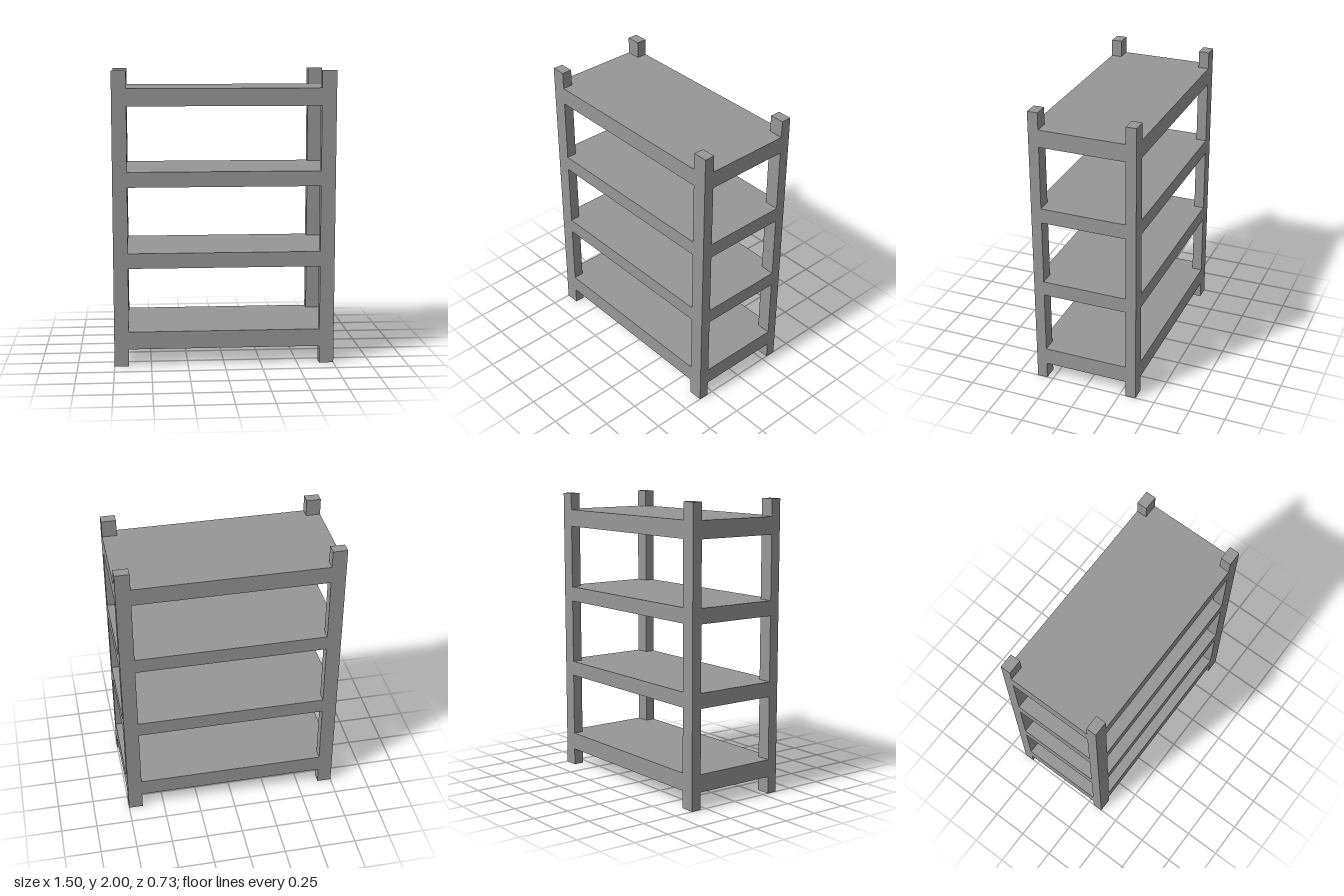
import * as THREE from 'three';

const HALF_W = 0.751, HALF_D = 0.365, HEIGHT = 2;
const POST_W = 0.099, POST_D = 0.071;
// bottom and top height of each shelf
const SHELVES = [[0.118, 0.238], [0.675, 0.778], [1.225, 1.328], [1.765, 1.884]];

// Board outline with the corners notched out around the posts
function shelfOutline() {
  const ix = HALF_W - POST_W, iz = HALF_D - POST_D;
  const s = new THREE.Shape();
  s.moveTo(-ix, -HALF_D);
  [[ix, -HALF_D], [ix, -iz], [HALF_W, -iz], [HALF_W, iz], [ix, iz], [ix, HALF_D],
    [-ix, HALF_D], [-ix, iz], [-HALF_W, iz], [-HALF_W, -iz], [-ix, -iz]]
    .forEach(([x, z]) => s.lineTo(x, z));
  s.closePath();
  return s;
}

export function createModel() {
  const rack = new THREE.Group();
  rack.name = 'shelvingRack';
  const material = new THREE.MeshStandardMaterial({ color: 0x979797, flatShading: true });

  // Four corner posts
  const postGeometry = new THREE.BoxGeometry(POST_W, HEIGHT, POST_D);
  for (const [sx, xName] of [[1, 'Left'], [-1, 'Right']]) {
    for (const [sz, zName] of [[1, 'front'], [-1, 'back']]) {
      const post = new THREE.Mesh(postGeometry, material);
      post.name = `${zName}${xName}Post`;
      post.position.set(sx * (HALF_W - POST_W / 2), HEIGHT / 2, sz * (HALF_D - POST_D / 2));
      rack.add(post);
    }
  }

  // Shelves, flush with the outer faces of the posts
  const outline = shelfOutline();
  SHELVES.forEach(([bottom, top], i) => {
    const geometry = new THREE.ExtrudeGeometry(outline, { depth: top - bottom, bevelEnabled: false });
    geometry.rotateX(-Math.PI / 2);
    const shelf = new THREE.Mesh(geometry, material);
    shelf.name = `shelf${i + 1}`;
    shelf.position.y = bottom;
    rack.add(shelf);
  });

  return rack;
}
